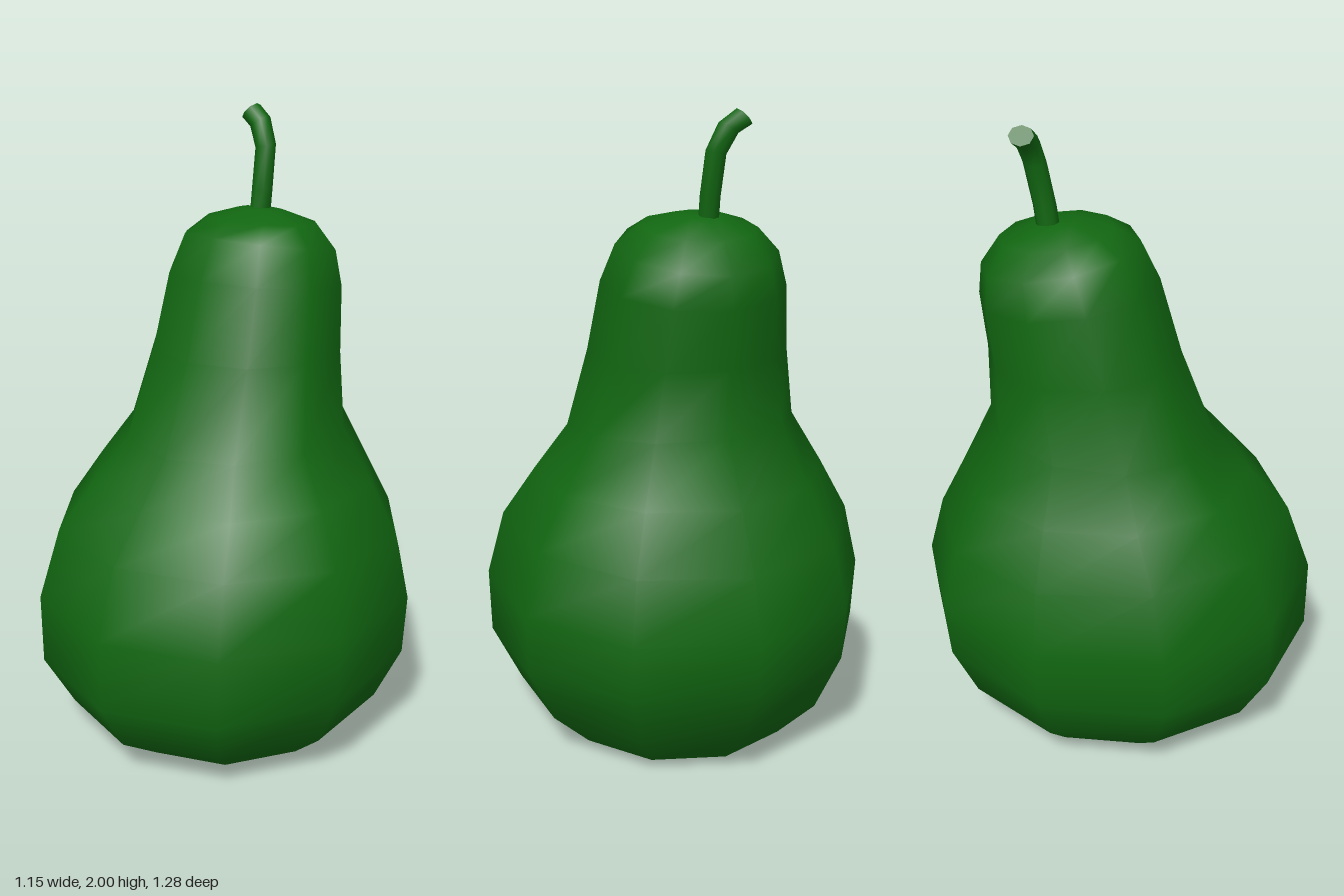
import * as THREE from 'three';

// Smooth closed skin over rings of points (bottom to top); flat caps get their own vertices.
function loft(rings, flatTop) {
  const n = rings[0].length, pts = rings.flat(), index = [];
  for (let i = 0; i < rings.length - 1; i++) {
    for (let j = 0; j < n; j++) {
      const a = i * n + j, b = i * n + (j + 1) % n;
      index.push(a, b, b + n, a, b + n, a + n);
    }
  }
  const cap = (ring, start, up) => {
    const c = pts.length;
    pts.push(ring.reduce((s, p) => s.add(p), new THREE.Vector3()).divideScalar(n));
    for (let j = 0; j < n; j++) {
      const a = start + j, b = start + (j + 1) % n;
      index.push(c, up ? a : b, up ? b : a);
    }
  };
  const flatCap = (ring, up) => {
    const start = pts.length;
    pts.push(...ring);
    cap(ring, start, up);
  };
  const last = rings[rings.length - 1];
  flatCap(rings[0], false);
  if (flatTop) flatCap(last, true);
  else cap(last, (rings.length - 1) * n, true);
  const geo = new THREE.BufferGeometry().setFromPoints(pts);
  geo.setIndex(index);
  geo.computeVertexNormals();
  return geo;
}

export function createModel() {
  const group = new THREE.Group();
  const material = new THREE.MeshStandardMaterial({ color: 0x116611 });

  // Fruit body: front y, front z, back y, back z, half width of each leaning ring
  const sections = [
    [0.00, 0.38, 0.01, -0.41, 0.36],
    [0.11, 0.54, 0.14, -0.54, 0.485],
    [0.28, 0.64, 0.33, -0.625, 0.57],
    [0.51, 0.64, 0.50, -0.64, 0.577],
    [0.73, 0.56, 0.69, -0.59, 0.53],
    [0.87, 0.43, 0.87, -0.50, 0.44],
    [1.00, 0.31, 1.06, -0.41, 0.34],
    [1.28, 0.20, 1.27, -0.41, 0.295],
    [1.52, 0.13, 1.45, -0.43, 0.27],
    [1.64, 0.07, 1.55, -0.42, 0.235],
    [1.68, -0.01, 1.64, -0.36, 0.17],
    [1.70, -0.12, 1.69, -0.24, 0.07],
  ];
  const sides = 10, widest = Math.sin(Math.PI * 0.4);
  const bodyRings = sections.map(([yF, zF, yB, zB, w]) =>
    Array.from({ length: sides }, (_, j) => {
      const a = (j / sides) * Math.PI * 2, t = (1 + Math.cos(a)) / 2;
      return new THREE.Vector3(
        Math.sin(a) * w / widest,
        THREE.MathUtils.lerp(yB, yF, t),
        THREE.MathUtils.lerp(zB, zF, t));
    }));
  const body = new THREE.Mesh(loft(bodyRings, false), material);
  body.name = 'fruitBody';
  group.add(body);

  // Stem: centre x, y, z, sideways tilt and radius of each ring
  const stemPath = [
    [-0.022, 1.64, -0.20, 0, 0.031],
    [-0.022, 1.75, -0.215, 0, 0.031],
    [-0.028, 1.88, -0.24, 0.2, 0.031],
    [-0.06, 1.95, -0.255, 0.6, 0.033],
    [-0.103, 1.98, -0.265, 0.85, 0.033],
  ];
  const stemRings = stemPath.map(([x, y, z, tilt, r]) =>
    Array.from({ length: 8 }, (_, j) => {
      const a = (j / 8) * Math.PI * 2;
      return new THREE.Vector3(Math.sin(a) * r, 0, Math.cos(a) * r * 1.15)
        .applyAxisAngle(new THREE.Vector3(0, 0, 1), tilt)
        .add(new THREE.Vector3(x, y, z));
    }));
  const stem = new THREE.Mesh(loft(stemRings, true), material);
  stem.name = 'stem';
  group.add(stem);

  return group;
}
